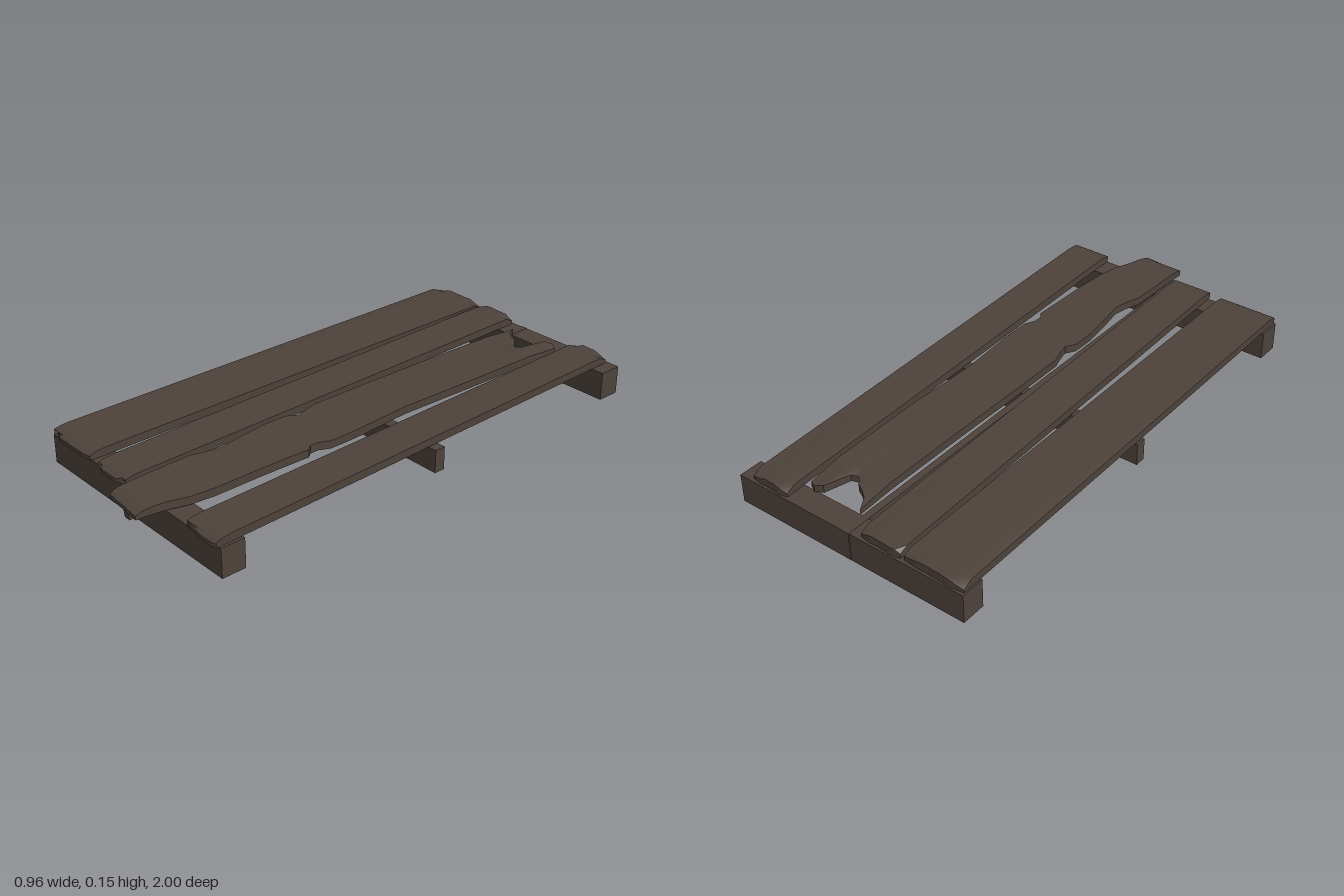
import * as THREE from 'three';
import { toCreasedNormals } from 'three/addons/utils/BufferGeometryUtils.js';

const COLS = 8;
const BOTTOM = 0.112, TOP = 0.142;

export function createModel() {
  const group = new THREE.Group();
  const wood = new THREE.MeshStandardMaterial({ color: 0x4d423b });
  wood.name = 'weathered wood';

  function add(name, geometry) {
    const mesh = new THREE.Mesh(geometry, wood);
    mesh.name = name;
    group.add(mesh);
    return mesh;
  }

  function beam(name, x0, x1, y0, y1, z0, z1) {
    const mesh = add(name, new THREE.BoxGeometry(x1 - x0, y1 - y0, z1 - z0));
    mesh.position.set((x0 + x1) / 2, (y0 + y1) / 2, (z0 + z1) / 2);
    return mesh;
  }

  // Board from rows [z, left, right, topDrop]; ends are ragged per column,
  // chips lower the top corners of the back end, bow lifts the middle.
  function plank(name, { rows, back, front, chips, bow = 0 }) {
    const n = rows.length - 1;
    const geo = new THREE.BoxGeometry(1, 1, 1, COLS, 1, n);
    const p = geo.attributes.position;
    for (let i = 0; i < p.count; i++) {
      const u = p.getX(i) + 0.5;
      const c = Math.round(u * COLS);
      const r = Math.round((p.getZ(i) + 0.5) * n);
      const [z, left, right, drop] = rows[r];
      let y = BOTTOM, zz = z;
      if (p.getY(i) > 0) y = TOP - drop - (r === 0 ? chips[c] : 0);
      if (r === 0) zz += back[c];
      if (r === n) zz += front[c];
      y += bow * Math.min(1, Math.max(0, (1 - Math.abs(z)) / 0.4));
      p.setXYZ(i, left + (right - left) * u, y, zz);
    }
    add(name, toCreasedNormals(geo, 0.6));
  }

  // Straight board, skewed between its back and front edges, with worn ends
  function straightPlank(name, backX, frontX, zEnd, front, chips) {
    const rows = [[-0.99, 0], [-0.95, 0], [0.84, 0], [zEnd - 0.035, 0.003], [zEnd - 0.012, 0.008], [zEnd, 0.016]]
      .map(([z, drop]) => {
        const t = (z + 0.99) / (zEnd + 0.99);
        return [z, backX[0] + (frontX[0] - backX[0]) * t, backX[1] + (frontX[1] - backX[1]) * t, drop];
      });
    plank(name, { rows, front, chips, back: [0.004, 0, -0.003, 0, 0, 0.002, 0, 0.003, 0.006] });
  }

  // Supporting frame
  beam('frontCrossBeam', -0.48, 0.476, 0, 0.111, 0.8, 0.892);
  beam('backCrossBeam', -0.48, 0.476, 0, 0.111, -0.997, -0.905);
  beam('middleCrossBeam', -0.48, 0.476, 0.02, 0.108, -0.063, -0.02);
  const spine = beam('centreBeam', -0.015, 0.012, 0.002, 0.112, -0.999, 0.93);
  const sp = spine.geometry.attributes.position;
  for (let i = 0; i < sp.count; i++) { // slanted front cut
    if (sp.getZ(i) > 0 && sp.getY(i) < 0) sp.setZ(i, sp.getZ(i) - 0.012);
  }
  spine.geometry.computeVertexNormals();

  // Whole boards
  straightPlank('rightOuterPlank', [-0.475, -0.235], [-0.472, -0.235], 0.905,
    [-0.025, -0.01, 0, 0, 0, 0, 0, -0.002, -0.006], [0.018, 0.01, 0, 0, 0, 0, 0, 0.008, 0.014]);
  straightPlank('rightInnerPlank', [-0.222, -0.057], [-0.178, -0.018], 0.915,
    [-0.022, -0.006, 0, 0, 0, 0, 0, -0.012, -0.022], [0.012, 0, 0, 0, 0, 0, 0, 0.01, 0.016]);
  straightPlank('leftOuterPlank', [0.267, 0.424], [0.31, 0.468], 0.908,
    [-0.016, -0.012, -0.008, -0.004, 0, 0, 0, 0, -0.006], [0.016, 0.01, 0, 0, 0, 0, 0.008, 0.014, 0.018]);

  // Broken board with bites along both edges and a torn back end
  plank('brokenPlank', {
    rows: [
      [-0.91, 0.016, 0.242, 0], [-0.76, 0.018, 0.247, 0], [-0.4, 0.014, 0.246, 0], [-0.1, 0.01, 0.236, 0],
      [0.13, 0.01, 0.25, 0], [0.18, 0.025, 0.251, 0], [0.22, 0.034, 0.251, 0], [0.255, 0.012, 0.25, 0],
      [0.295, 0.01, 0.231, 0], [0.33, 0.01, 0.231, 0], [0.35, 0.01, 0.247, 0], [0.45, 0.022, 0.243, 0],
      [0.56, 0.04, 0.24, 0], [0.62, 0.028, 0.239, 0], [0.67, 0.012, 0.237, 0], [0.73, 0.01, 0.234, 0],
      [0.82, 0.01, 0.22, 0], [0.89, 0.01, 0.195, 0], [0.94, 0.01, 0.184, 0.001], [0.975, 0.01, 0.178, 0.007],
      [0.993, 0.012, 0.177, 0.016],
    ],
    back: [0, 0.05, 0.07, 0.085, 0.118, 0.108, 0.01, -0.005, 0.01],
    front: [-0.01, -0.008, -0.006, -0.005, -0.004, -0.002, 0, 0.002, 0.004],
    chips: [0.01, 0.004, 0, 0, 0.006, 0.004, 0, 0.004, 0.01],
    bow: 0.012,
  });

  return group;
}
